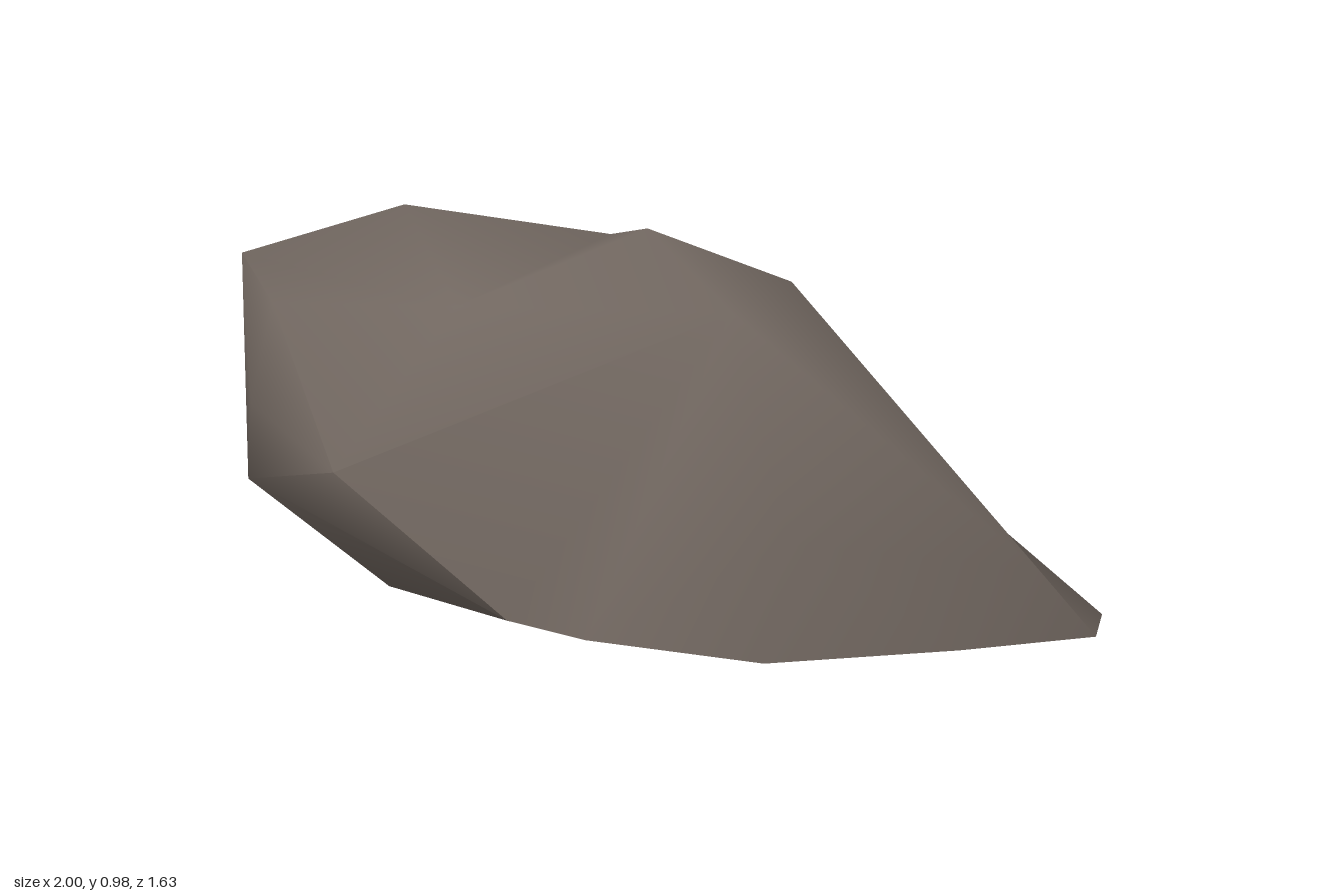
import * as THREE from 'three';
import { toCreasedNormals } from 'three/addons/utils/BufferGeometryUtils.js';
import { ConvexGeometry } from 'three/addons/geometries/ConvexGeometry.js';

// Corners of the boulder, from the crown down to the base
const corners = [
  [-0.11, 0.975, 0.11], [-0.61, 0.96, -0.44], [0.24, 0.84, 0.17], [0.04, 0.81, 0.42],
  [-0.98, 0.82, -0.63], [-0.97, 0.75, -0.3], [-0.57, 0.72, -0.75], [0.11, 0.82, -0.29],
  [-1, 0.48, -0.42], [-0.91, 0.4, 0.16], [-0.5, 0.38, -0.82], [-0.86, 0.23, -0.81],
  [-0.97, 0.26, -0.6], [-0.32, 0.07, -0.76], [0.08, 0.2, -0.57],
  [0.12, 0.28, 0.72], [0.78, 0.17, 0.56], [-0.38, 0.05, 0.68], [-0.56, 0.09, 0.59],
  [1, 0, 0.27], [0.92, 0, 0.59], [0.55, 0, 0.72], [0.04, 0, 0.815],
  [0.46, 0, -0.33], [-0.64, 0, -0.48],
];

// Hollows: a point lifted clear of the hull, then its final sunken place
const hollows = [
  { from: [-0.15, 1.0, -0.17], to: [-0.14, 0.91, -0.2] }, // saddle of the crown
  { from: [-0.56, 0.96, -0.05], to: [-0.56, 0.77, -0.04] }, // fold below the crown
  { from: [0.37, 0.42, -0.26], to: [0.32, 0.4, -0.235] }, // shoulder beside the valley
  { from: [0.47, 0.52, -0.05], to: [0.46, 0.32, -0.05] }, // valley
  { from: [0.74, 0.36, 0.28], to: [0.74, 0.23, 0.276] }, // toe of the ridge
  { from: [-0.42, -0.03, 0.1], to: [-0.42, 0.03, 0.1] }, // raised underside
  { from: [-0.38, -0.03, -0.5], to: [-0.38, 0.035, -0.5] },
];

function boulderGeometry() {
  const vec = (p) => new THREE.Vector3(...p);
  const hull = new ConvexGeometry([...corners, ...hollows.map((h) => h.from)].map(vec));
  const pos = hull.attributes.position;
  const v = new THREE.Vector3();
  // Sink the hollows into the hull
  for (let i = 0; i < pos.count; i++) {
    v.fromBufferAttribute(pos, i);
    const hollow = hollows.find((h) => v.distanceTo(vec(h.from)) < 1e-4);
    if (hollow) pos.setXYZ(i, ...hollow.to);
  }
  // Smooth sides, with a firm edge around the flat base
  return toCreasedNormals(hull, 1.5);
}

export function createModel() {
  const stone = new THREE.MeshStandardMaterial({ color: 0x70665f });
  stone.name = 'brownGreyStone';
  const boulder = new THREE.Mesh(boulderGeometry(), stone);
  boulder.name = 'boulder';
  const model = new THREE.Group();
  model.name = 'rock';
  model.add(boulder);
  return model;
}
